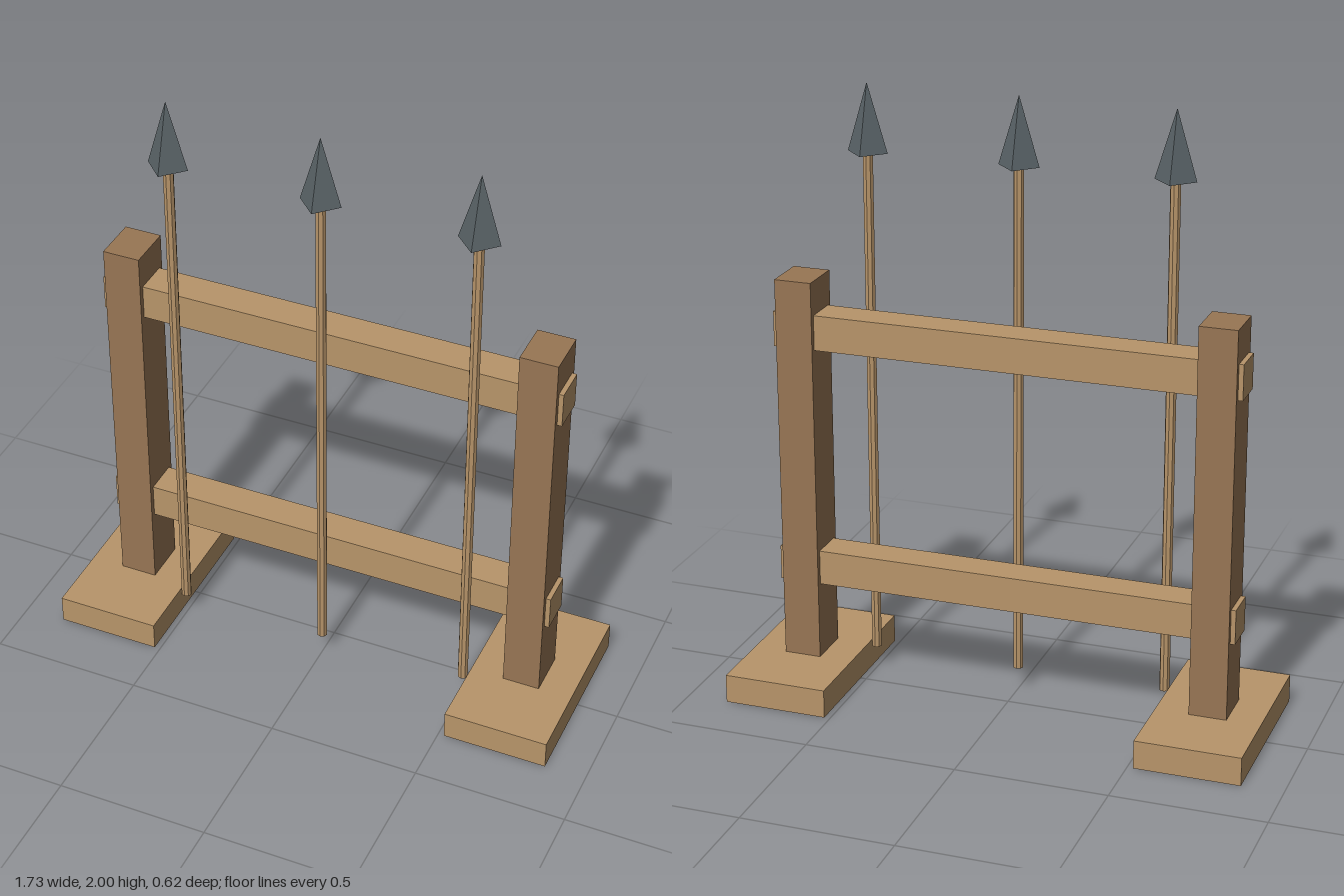
import * as THREE from 'three';

const material = (color) => new THREE.MeshStandardMaterial({ color, flatShading: true });

export function createModel() {
  const rack = new THREE.Group();
  rack.name = 'spearRack';
  const lightWood = material(0xb8956a);
  const darkWood = material(0x987654);
  const iron = material(0x5a6468);

  const add = (parent, name, geometry, mat, x, y, z) => {
    const mesh = new THREE.Mesh(geometry, mat);
    mesh.name = name;
    mesh.position.set(x, y, z);
    parent.add(mesh);
  };

  // Feet and upright posts, mirrored left and right
  const footGeometry = new THREE.BoxGeometry(0.345, 0.095, 0.615);
  const postGeometry = new THREE.BoxGeometry(0.123, 1.29, 0.153);
  for (const [side, s] of [['left', 1], ['right', -1]]) {
    add(rack, side + 'Foot', footGeometry, lightWood, s * 0.692, 0.0475, 0);
    add(rack, side + 'Post', postGeometry, darkWood, s * 0.692, 0.74, 0);
  }

  // Cross rails, passing through the posts
  const railGeometry = new THREE.BoxGeometry(1.538, 0.116, 0.116);
  add(rack, 'lowerRail', railGeometry, lightWood, 0, 0.408, 0);
  add(rack, 'upperRail', railGeometry, lightWood, 0, 1.215, 0);

  // Three spears leaning on the front of the rails
  const shaftGeometry = new THREE.CylinderGeometry(0.017, 0.017, 1.7, 8);
  const headGeometry = new THREE.ConeGeometry(0.067, 0.223, 4);
  for (const x of [-0.5, 0, 0.5]) {
    const spear = new THREE.Group();
    spear.name = 'spear';
    spear.position.set(x, 0, 0.1);
    add(spear, 'shaft', shaftGeometry, lightWood, 0, 0.93, 0);
    add(spear, 'spearhead', headGeometry, iron, 0, 1.8885, 0);
    rack.add(spear);
  }
  return rack;
}
